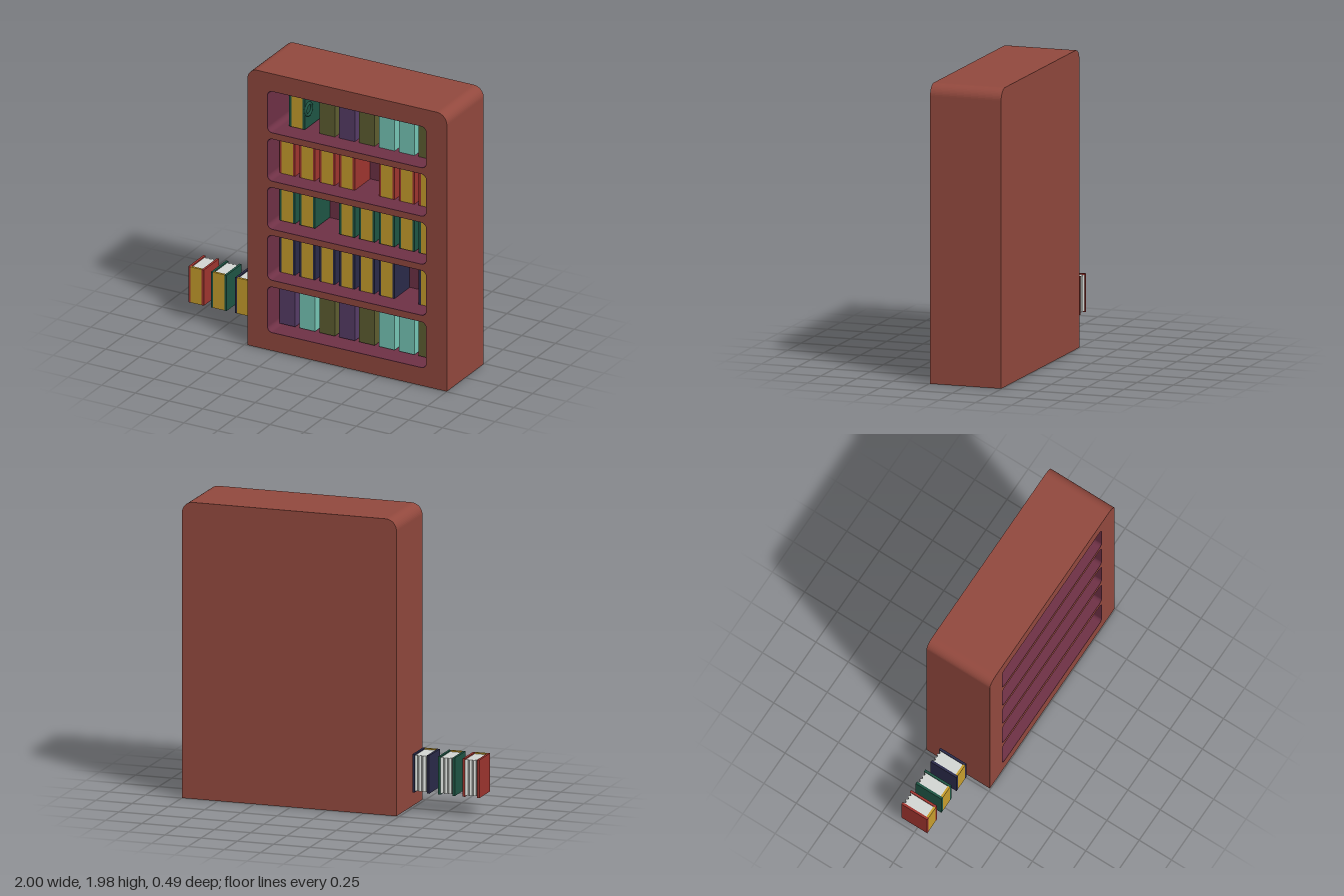
import * as THREE from 'three';

const mat = (name, color) => {
  const m = new THREE.MeshStandardMaterial({ color });
  m.name = name;
  return m;
};

const M = {
  cabinet: mat('cabinet wood', 0x93493e),
  plum: mat('shelf lining', 0x6f3146),
  gold: mat('gold spine', 0xcaa02e),
  olive: mat('olive cover', 0x5e5e31),
  purple: mat('purple cover', 0x573d68),
  teal: mat('teal cover', 0x78c8b8),
  red: mat('red cover', 0xa0352f),
  green: mat('green cover', 0x1f5645),
  navy: mat('navy cover', 0x2b2b4a),
  paper: mat('pages', 0xd4d8d4),
};

const BOOK = { w: 0.116, h: 0.254, d: 0.2, t: 0.016 };

function add(parent, name, geometry, material, x = 0, y = 0, z = 0) {
  const mesh = new THREE.Mesh(geometry, material);
  mesh.name = name;
  mesh.position.set(x, y, z);
  parent.add(mesh);
  return mesh;
}

// Rectangle with separate radii for the bottom and top corners
function roundRect(x0, y0, x1, y1, rb, rt, Type = THREE.Shape) {
  const s = new Type();
  s.moveTo(x0 + rb, y0);
  s.lineTo(x1 - rb, y0);
  if (rb) s.absarc(x1 - rb, y0 + rb, rb, -Math.PI / 2, 0, false);
  s.lineTo(x1, y1 - rt);
  s.absarc(x1 - rt, y1 - rt, rt, 0, Math.PI / 2, false);
  s.lineTo(x0 + rt, y1);
  s.absarc(x0 + rt, y1 - rt, rt, Math.PI / 2, Math.PI, false);
  s.lineTo(x0, y0 + rb);
  if (rb) s.absarc(x0 + rb, y0 + rb, rb, Math.PI, Math.PI * 1.5, false);
  return s;
}

const extrude = (shape, depth) =>
  new THREE.ExtrudeGeometry(shape, { depth, bevelEnabled: false, curveSegments: 6 });

// Page block with a rippled fore edge, extruded upward
function pagesGeometry() {
  const half = BOOK.w / 2 - BOOK.t;
  const s = new THREE.Shape();
  s.moveTo(-half, -0.084);
  s.lineTo(half, -0.084);
  const n = 18;
  for (let i = 0; i <= n; i++) {
    const u = i / n;
    s.lineTo(half - 2 * half * u, 0.09 + 0.007 * Math.cos(u * Math.PI * 6));
  }
  s.closePath();
  return extrude(s, BOOK.h - 0.016).rotateX(-Math.PI / 2);
}

const coverGeo = new THREE.BoxGeometry(BOOK.t, BOOK.h, BOOK.d);
const spineGeo = new THREE.BoxGeometry(BOOK.w - 2 * BOOK.t, BOOK.h, BOOK.t);
const pageGeo = pagesGeometry();

// A book standing at y = 0 with its spine toward +z
function makeBook(cover, spine) {
  const book = new THREE.Group();
  book.name = 'book';
  for (const side of [-1, 1]) {
    add(book, 'bookCover', coverGeo, cover, side * (BOOK.w - BOOK.t) / 2, BOOK.h / 2, 0);
  }
  add(book, 'bookSpine', spineGeo, spine, 0, BOOK.h / 2, (BOOK.d - BOOK.t) / 2);
  add(book, 'bookPages', pageGeo, M.paper, 0, 0.008, 0);
  return book;
}

export function createModel() {
  const model = new THREE.Group();
  model.name = 'bookcase';

  const front = 0.245, back = -0.245, inner = -0.1;
  const x0 = -0.335, x1 = 0.85;
  const openings = [[1.55, 1.852], [1.205, 1.513], [0.862, 1.167], [0.498, 0.825], [0.125, 0.458]];

  // Cabinet: pierced front frame and solid back
  const outline = () => roundRect(-0.48, 0, 1, 1.975, 0, 0.075);
  const frame = outline();
  for (const [a, b] of openings) {
    frame.holes.push(roundRect(x0, a, x1, b, 0.04, 0.04, THREE.Path));
  }
  add(model, 'cabinetFrame', extrude(frame, front - inner), M.cabinet, 0, 0, inner);
  add(model, 'cabinetBack', extrude(outline(), inner - back), M.cabinet, 0, 0, back);

  // Lining of each shelf opening
  const e = 0.004;
  for (const [a, b] of openings) {
    const ring = roundRect(x0, a, x1, b, 0.04, 0.04);
    ring.holes.push(roundRect(x0 + e, a + e, x1 - e, b - e, 0.036, 0.036, THREE.Path));
    add(model, 'shelfLining', extrude(ring, front - inner), M.plum, 0, 0, inner);
    add(model, 'shelfBackPanel', extrude(roundRect(x0, a, x1, b, 0.04, 0.04), e), M.plum, 0, 0, inner);
  }

  // Shelved books, one letter per slot, '-' is a gap
  const kinds = {
    r: [M.red, M.gold], g: [M.green, M.gold], n: [M.navy, M.gold],
    o: [M.olive, M.olive], p: [M.purple, M.purple], t: [M.teal, M.teal],
  };
  const rows = [
    [1.558, '--opotto'],
    [1.211, 'rrrr-rrr'],
    [0.873, 'gg-ggggg'],
    [0.505, 'nnnnnn-n'],
    [0.138, 'ptopotto'],
  ];
  const bookZ = 0.012;
  for (const [y, slots] of rows) {
    [...slots].forEach((k, i) => {
      if (k === '-') return;
      const book = makeBook(...kinds[k]);
      book.position.set(-0.258 + 0.1476 * i, y, bookZ);
      model.add(book);
    });
  }

  // Book with a ring on its side, on the top shelf
  const ringBook = makeBook(M.green, M.gold);
  ringBook.name = 'ringBook';
  ringBook.position.set(-0.186, 1.56, bookZ);
  const ring = add(ringBook, 'sideRing', new THREE.TorusGeometry(0.04, 0.011, 8, 20), M.green, 0.06, 0.13, 0.055);
  ring.rotation.y = Math.PI / 2;
  model.add(ringBook);

  // Loose books beside the cabinet
  [['r', -0.942], ['g', -0.773], ['n', -0.595]].forEach(([k, x]) => {
    const book = makeBook(...kinds[k]);
    book.name = 'looseBook';
    book.position.set(x, 0.131, 0);
    model.add(book);
  });

  return model;
}
